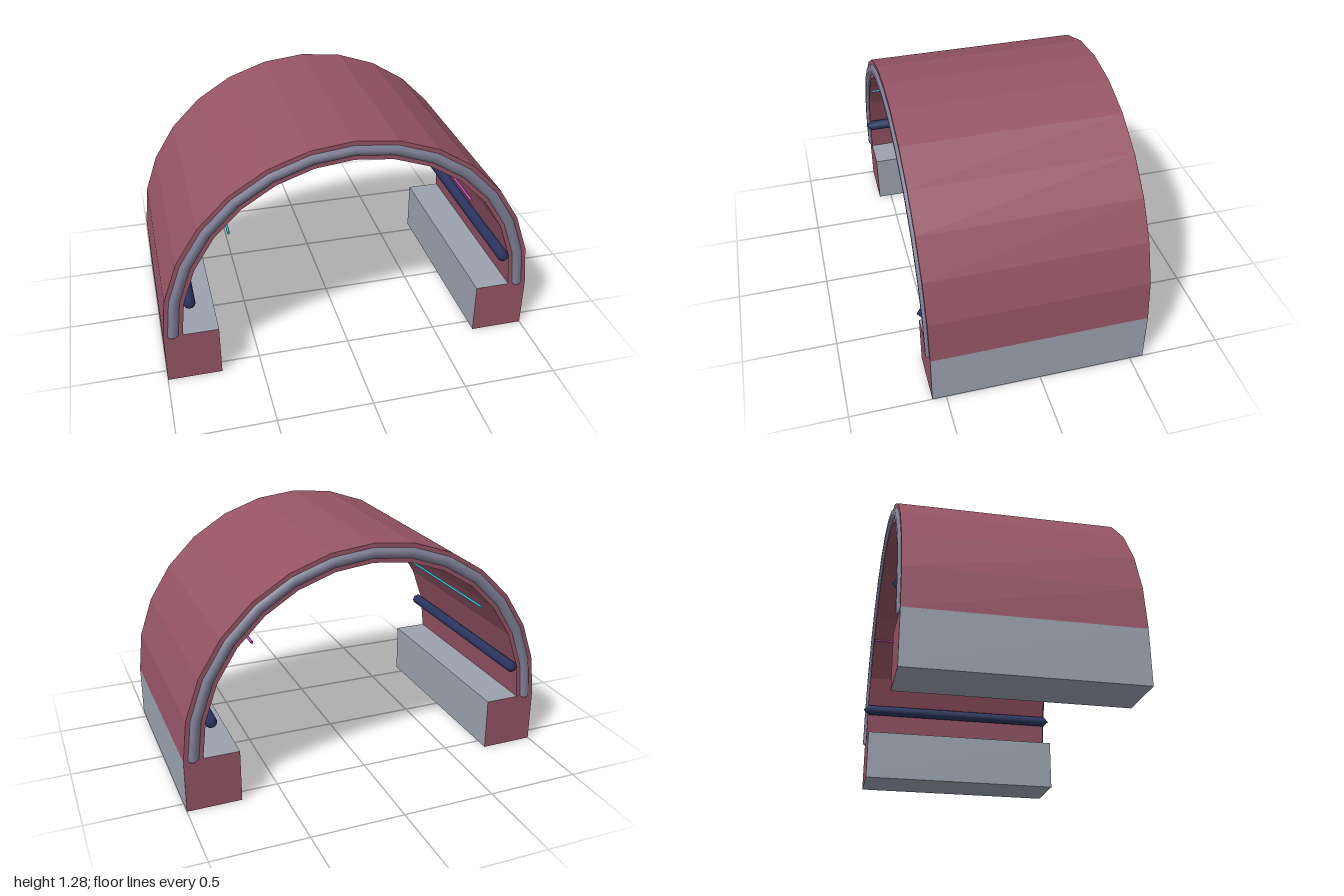
import * as THREE from 'three';

export function createModel() {
  const model = new THREE.Group();
  const mat = (name, color, flatShading = false) => {
    const m = new THREE.MeshStandardMaterial({ color, flatShading });
    m.name = name;
    return m;
  };
  const red = mat('dusty red', 0x965465, true);
  const grey = mat('light grey', 0x9ca3af);
  const steel = mat('violet grey', 0x7f8098);
  const navy = mat('navy', 0x2a3560);
  const cyan = mat('cyan', 0x2cb5c4);
  const magenta = mat('magenta', 0xc048b4);

  const add = (name, geometry, material, x = 0, y = 0, z = 0, parent = model) => {
    const mesh = new THREE.Mesh(geometry, material);
    mesh.name = name;
    mesh.position.set(x, y, z);
    parent.add(mesh);
    return mesh;
  };

  const BASE = 0.285, LENGTH = 1.146, SEGMENTS = 14;

  // Faceted half-ring vault
  const arc = (r) => Array.from({ length: SEGMENTS + 1 }, (_, i) => {
    const a = (i / SEGMENTS) * Math.PI;
    return new THREE.Vector2(r * Math.cos(a), r * Math.sin(a));
  });
  const section = new THREE.Shape([...arc(1), ...arc(0.9).reverse()]);
  add('vault', new THREE.ExtrudeGeometry(section, { depth: LENGTH, bevelEnabled: false }),
    red, 0, BASE, -LENGTH / 2);

  // Octagonal trim tube along each rim
  const profile = Array.from({ length: 9 }, (_, i) => {
    const a = ((i + 0.5) / 8) * Math.PI * 2;
    return new THREE.Vector2(0.95 + 0.0325 * Math.cos(a), 0.0325 * Math.sin(a));
  });
  const trim = new THREE.LatheGeometry(profile, SEGMENTS, -Math.PI / 2, Math.PI).rotateX(-Math.PI / 2);
  const trimEnd = new THREE.SphereGeometry(0.0325, 8, 4).rotateY(Math.PI / 8).scale(1, 0.5, 1);
  for (const s of [1, -1]) {
    add('rimTrim', trim, steel, 0, BASE, s * 0.558);
    for (const side of [1, -1]) add('rimTrimEnd', trimEnd, steel, side * 0.95, BASE, s * 0.558);
  }

  // Plinths, handrails and light strips on both sides
  const plinth = new THREE.BoxGeometry(0.287, BASE, LENGTH);
  const rail = new THREE.CapsuleGeometry(0.03, LENGTH, 1, 10).rotateX(Math.PI / 2);
  const strip = new THREE.CylinderGeometry(0.007, 0.007, 1.14, 6).rotateX(Math.PI / 2);
  for (const side of [1, -1]) {
    add('plinth', plinth, [grey, grey, grey, grey, red, red], side * 0.8565, BASE / 2, 0);
    add('handrail', rail, navy, side * 0.85, 0.475, 0);
    add('lightStrip', strip, side > 0 ? magenta : cyan, side * 0.63, 0.862, 0);
  }

  // Two ceiling vents with slats underneath
  const panel = new THREE.BoxGeometry(0.224, 0.016, 0.16);
  const slat = new THREE.BoxGeometry(0.014, 0.012, 0.15);
  for (const z of [0.27, -0.27]) {
    const vent = new THREE.Group();
    vent.name = 'ceilingVent';
    vent.position.set(0, 1.166, z);
    add('ventPanel', panel, cyan, 0, 0, 0, vent);
    for (const x of [-0.07, 0, 0.07]) add('ventSlat', slat, navy, x, -0.012, 0, vent);
    model.add(vent);
  }

  return model;
}
